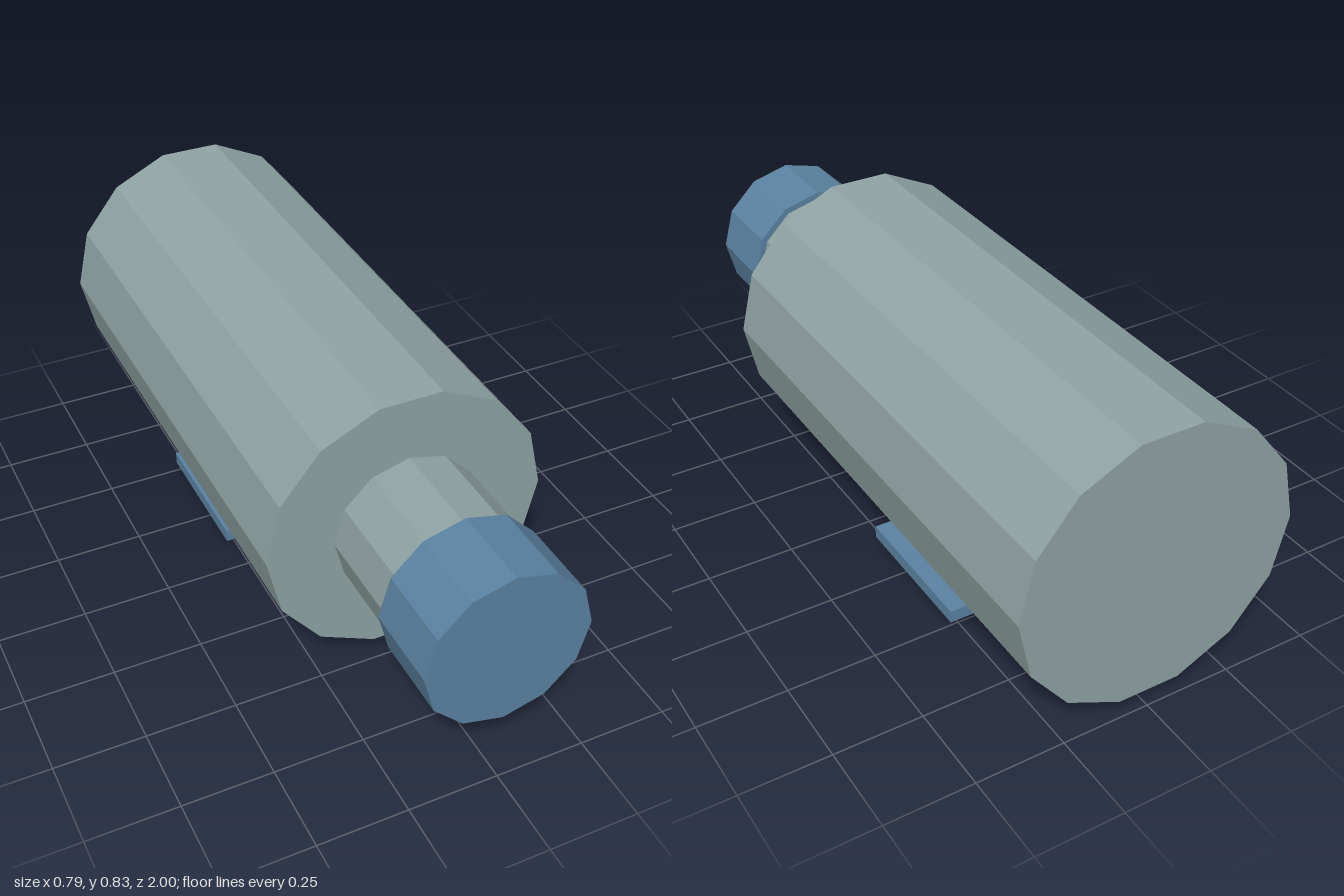
import * as THREE from 'three';

const material = (name, color) => {
  const m = new THREE.MeshStandardMaterial({ color, flatShading: true });
  m.name = name;
  return m;
};

export function createModel() {
  const group = new THREE.Group();
  const grey = material('greyGreen', 0x8fa3a3);
  const blue = material('steelBlue', 0x5b82a1);
  const tan = material('warmGrey', 0xbeb6ac);
  const axisY = 0.441;

  const add = (name, geometry, mat, x, y, z) => {
    const mesh = new THREE.Mesh(geometry, mat);
    mesh.name = name;
    mesh.position.set(x, y, z);
    group.add(mesh);
  };

  // Faceted cylinder lying along z, with a corner on the +x side
  const barrel = (name, radius, sides, z0, z1, mat) => {
    const geometry = new THREE.CylinderGeometry(radius, radius, z1 - z0, sides, 1, false, Math.PI / 2);
    geometry.rotateX(Math.PI / 2);
    add(name, geometry, mat, 0, axisY, (z0 + z1) / 2);
  };

  // Slab given by its width and its y and z extents
  const slab = (name, width, y0, y1, z0, z1, mat) =>
    add(name, new THREE.BoxGeometry(width, y1 - y0, z1 - z0), mat, 0, (y0 + y1) / 2, (z0 + z1) / 2);

  // Main body, neck and end cap
  barrel('body', 0.395, 14, -1, 0.487, grey);
  barrel('neck', 0.208, 12, 0.487, 0.769, grey);
  barrel('cap', 0.227, 12, 0.769, 1, blue);

  // Mounting plate and foot below the body
  slab('mountPlate', 0.558, 0.021, 0.058, -0.511, -0.095, blue);
  slab('foot', 0.326, 0, 0.021, -0.361, -0.244, tan);

  return group;
}
